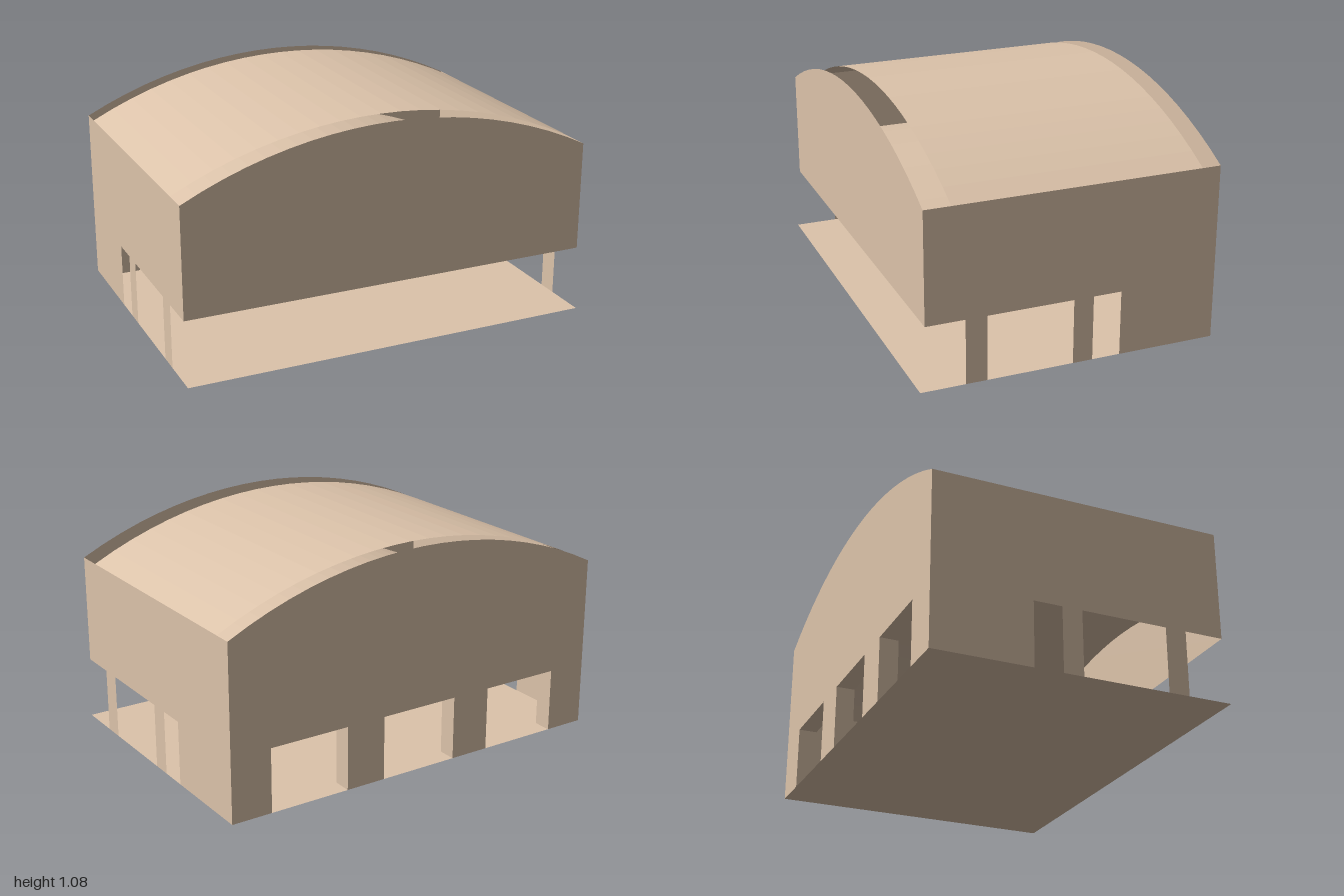
import * as THREE from 'three';

const BACK = -0.71, FRONT = 0.685, INNER = -0.62;
const EAVE = 0.84, SPRING = 0.49, RISE = 0.24, LINTEL = 0.31;
const RADIUS = (1 + RISE * RISE) / (2 * RISE);
const SEGMENTS = 20;

// points of a shallow arch from x = 1 to x = -1 springing at height base
function arch(base) {
  const pts = [];
  for (let i = 0; i <= SEGMENTS; i++) {
    const x = 1 - (2 * i) / SEGMENTS;
    pts.push(new THREE.Vector2(x, base + RISE - RADIUS + Math.sqrt(RADIUS * RADIUS - x * x)));
  }
  return pts;
}

// thin curved sheet following an arch between two depths
function vault(base, z0, z1) {
  const g = new THREE.PlaneGeometry(2, z1 - z0, SEGMENTS, 1);
  g.rotateX(-Math.PI / 2);
  const line = arch(base).reverse();
  const p = g.attributes.position;
  for (let i = 0; i < p.count; i++) {
    p.setY(i, line[i % (SEGMENTS + 1)].y);
    p.setZ(i, p.getZ(i) + (z0 + z1) / 2);
  }
  g.computeVertexNormals();
  return g;
}

const toPoints = (list) => list.map(([x, y]) => new THREE.Vector2(x, y));

export function createModel() {
  const group = new THREE.Group();
  const material = new THREE.MeshStandardMaterial({
    color: 0xdcc3aa, flatShading: true, side: THREE.DoubleSide,
  });
  const add = (name, geometry) => {
    const mesh = new THREE.Mesh(geometry, material);
    mesh.name = name;
    group.add(mesh);
    return mesh;
  };

  // ground slab
  const floor = new THREE.PlaneGeometry(2, 1.42);
  floor.rotateX(-Math.PI / 2);
  add('floor', floor);

  // outer roof stops short of both gables; inner ceiling hangs below it
  add('roof', vault(EAVE, INNER, 0.56));
  add('ceiling', vault(SPRING, INNER, FRONT));

  // front gable hangs above the open arcade
  const front = new THREE.Shape([...toPoints([[-1, LINTEL], [1, LINTEL]]), ...arch(EAVE)]);
  add('frontGable', new THREE.ShapeGeometry(front)).position.z = FRONT;

  // thick back wall with three doorways between four piers
  const outline = [[-1, 0]];
  for (const x of [-0.6, 0, 0.6]) {
    const h = 0.2;
    outline.push([x - h, 0], [x - h, LINTEL], [x + h, LINTEL], [x + h, 0]);
  }
  outline.push([1, 0]);
  const back = new THREE.Shape([...toPoints(outline), ...arch(SPRING)]);
  add('backWall', new THREE.ExtrudeGeometry(back, { depth: INNER - BACK, bevelEnabled: false }))
    .position.z = BACK;

  // thin parapet above the back wall
  const parapet = new THREE.Shape([...arch(SPRING).reverse(), ...arch(EAVE)]);
  add('backGable', new THREE.ShapeGeometry(parapet)).position.z = BACK;

  // thin side walls carried on two narrow posts each
  const side = new THREE.Shape(toPoints([
    [BACK, 0], [-0.24, 0], [-0.24, LINTEL], [-0.105, LINTEL], [-0.105, 0], [-0.01, 0],
    [-0.01, LINTEL], [0.4, LINTEL], [0.4, 0], [0.5, 0], [0.5, LINTEL],
    [FRONT, LINTEL], [FRONT, EAVE], [BACK, EAVE],
  ]));
  for (const [name, x] of [['leftWall', 1], ['rightWall', -1]]) {
    const wall = add(name, new THREE.ShapeGeometry(side));
    wall.rotation.y = -Math.PI / 2;
    wall.position.x = x;
  }
  return group;
}
